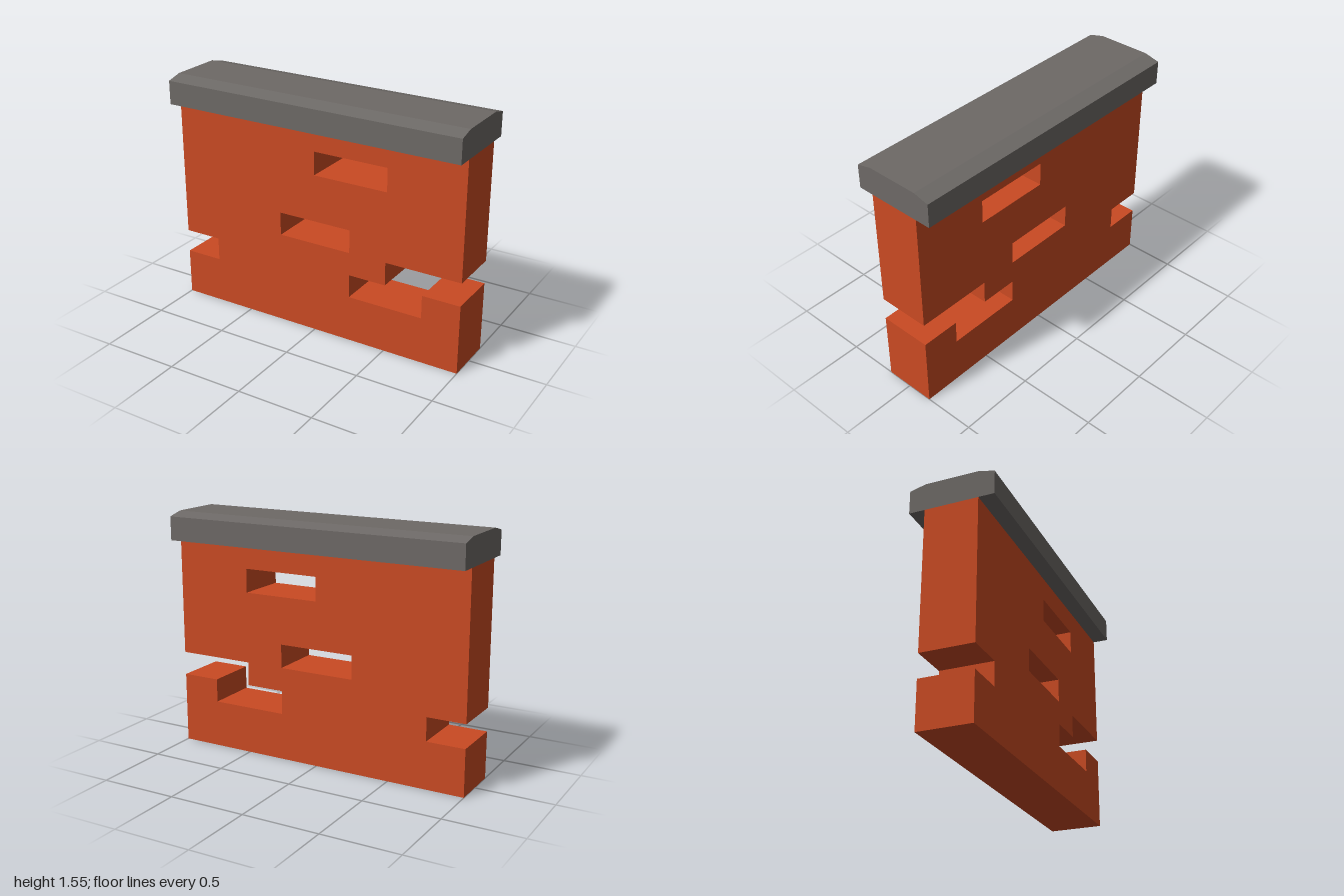
import * as THREE from 'three';

const COURSE = 1.37 / 9; // height of one brick course
const HALF = 0.25; // half a brick length
const WALL_DEPTH = 0.34;

// Points on the brick grid: [half bricks from the middle, courses from the ground]
const onGrid = (points) => points.map(([i, j]) => new THREE.Vector2(i * HALF, j * COURSE));

// Extrudes a shape centred on z = 0
function extrude(shape, depth) {
  const geometry = new THREE.ExtrudeGeometry(shape, { depth, bevelEnabled: false });
  return geometry.translate(0, 0, -depth / 2);
}

export function createModel() {
  const group = new THREE.Group();
  group.name = 'brickWall';
  const brick = new THREE.MeshStandardMaterial({ color: 0xca4a23 });
  brick.name = 'brick orange';
  const stone = new THREE.MeshStandardMaterial({ color: 0x6d6966 });
  stone.name = 'stone grey';

  // Wall outline, with bricks missing at both ends
  const outline = new THREE.Shape(onGrid([
    [-4, 0], [4, 0],
    [4, 3], [3, 3], [3, 2], [1, 2], [1, 3], [2, 3], [2, 4], [4, 4],
    [4, 9], [-4, 9],
    [-4, 3], [-3, 3], [-3, 2], [-4, 2],
  ]));

  // Single missing bricks: left half-brick position and course
  for (const [i, j] of [[0, 7], [-1, 4]]) {
    outline.holes.push(new THREE.Path(onGrid([[i, j], [i, j + 1], [i + 2, j + 1], [i + 2, j]])));
  }
  const wall = new THREE.Mesh(extrude(outline, WALL_DEPTH), brick);
  wall.name = 'wall';
  group.add(wall);

  // Coping stone: chamfered profile running the length of the wall
  const profile = new THREE.Shape([
    [-0.27, 1.37], [0.27, 1.37], [0.27, 1.522], [0.17, 1.547], [-0.17, 1.547], [-0.27, 1.522],
  ].map(([z, y]) => new THREE.Vector2(z, y)));
  const coping = new THREE.Mesh(extrude(profile, 2).rotateY(Math.PI / 2), stone);
  coping.name = 'coping';
  group.add(coping);

  return group;
}
